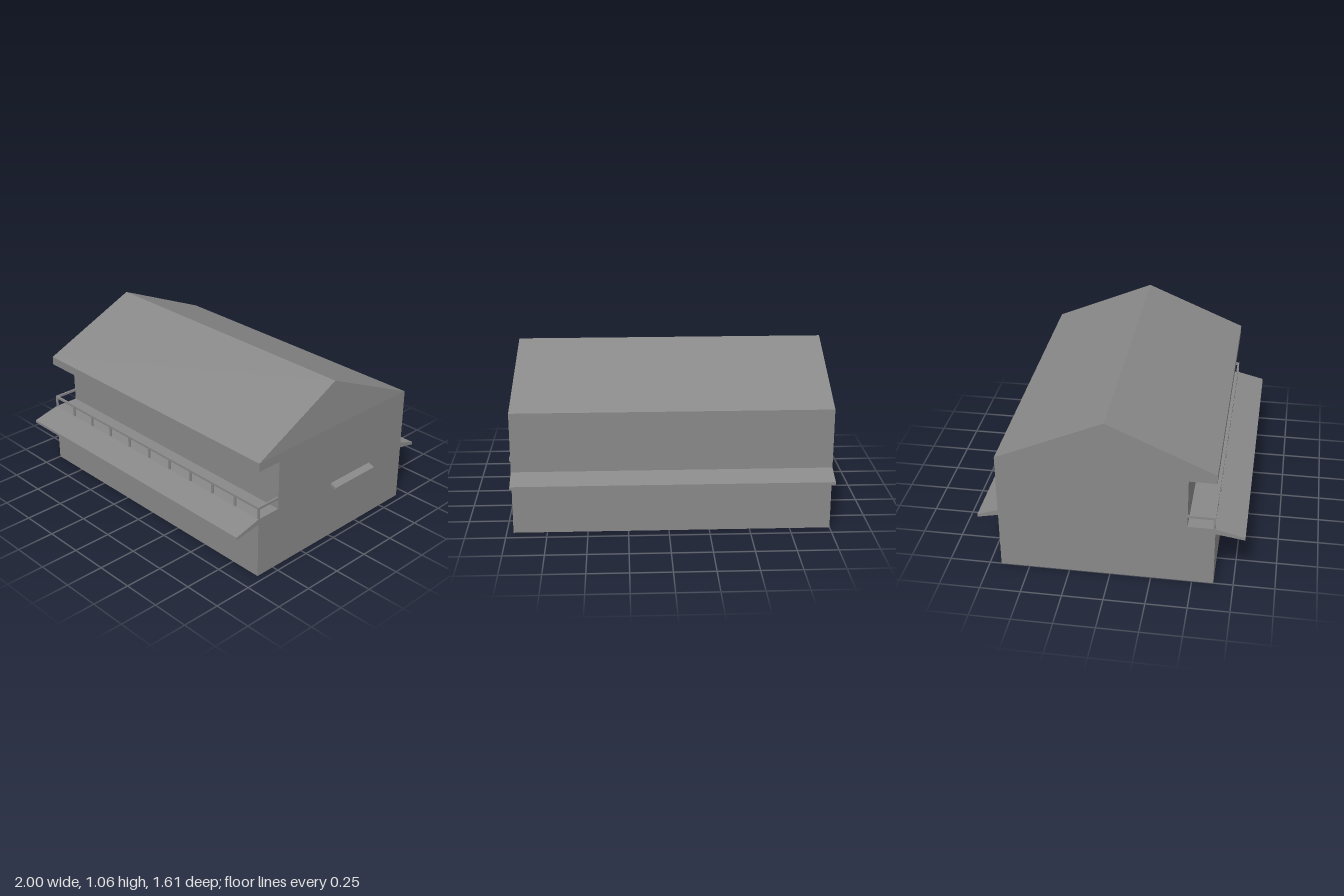
import * as THREE from 'three';

const LEFT = -1, RIGHT = 0.958, EAVE = 0.774, RIDGE = 1.062;
const FRONT = 0.63, BACK = -0.678, RECESS = 0.465, DECK = 0.4;

const material = new THREE.MeshStandardMaterial({
  color: 0x888888, flatShading: true, side: THREE.DoubleSide,
});

function addMesh(parent, name, geometry) {
  const mesh = new THREE.Mesh(geometry, material);
  mesh.name = name;
  parent.add(mesh);
  return mesh;
}

function addBox(parent, name, x0, x1, y0, y1, z0, z1) {
  const mesh = addMesh(parent, name, new THREE.BoxGeometry(x1 - x0, y1 - y0, z1 - z0));
  mesh.position.set((x0 + x1) / 2, (y0 + y1) / 2, (z0 + z1) / 2);
}

// The end of the ridge leans in slightly at the right gable.
const rightX = (y) => RIGHT - 0.027 * Math.max(0, (y - EAVE) / (RIDGE - EAVE));

// Open-bottomed shell: a [z, y] profile swept along x, with both ends filled.
function shellGeometry(profile) {
  const pos = [];
  const tri = (...corners) => corners.forEach((c) => pos.push(...c));
  const l = ([z, y]) => [LEFT, y, z];
  const r = ([z, y]) => [rightX(y), y, z];
  for (let i = 0; i < profile.length - 1; i++) {
    const a = profile[i], b = profile[i + 1];
    tri(l(a), r(a), r(b));
    tri(l(a), r(b), l(b));
  }
  // End walls below the eaves, then the gable triangles above.
  const isRidge = (p) => p[1] === RIDGE;
  const wall = profile.filter((p) => !isRidge(p));
  const outline = wall.map(([z, y]) => new THREE.Vector2(-z, y));
  const ends = THREE.ShapeUtils.triangulateShape(outline, []).map((f) => f.map((i) => wall[i]));
  ends.push([[FRONT, EAVE], [BACK, EAVE], profile.find(isRidge)]);
  for (const [a, b, c] of ends) {
    const turn = (a[0] - b[0]) * (c[1] - a[1]) - (b[1] - a[1]) * (a[0] - c[0]);
    const [p, q] = turn > 0 ? [b, c] : [c, b];
    tri(r(a), r(p), r(q));
    tri(l(a), l(q), l(p));
  }
  const geometry = new THREE.BufferGeometry();
  geometry.setAttribute('position', new THREE.Float32BufferAttribute(pos, 3));
  geometry.computeVertexNormals();
  return geometry;
}

// Solid prism: a closed [z, y] outline swept along x.
function prismGeometry(outline, x0, x1) {
  const shape = new THREE.Shape(outline.map(([z, y]) => new THREE.Vector2(-z, y)));
  const geometry = new THREE.ExtrudeGeometry(shape, { depth: x1 - x0, bevelEnabled: false });
  geometry.rotateY(Math.PI / 2);
  geometry.translate(x0, 0, 0);
  return geometry;
}

export function createModel() {
  const house = new THREE.Group();
  house.name = 'house';

  // Walls, balcony recess and roof
  addMesh(house, 'houseShell', shellGeometry([
    [FRONT, 0], [FRONT, DECK], [RECESS, DECK], [RECESS, 0.719], [FRONT, 0.719],
    [FRONT, EAVE], [-0.025, RIDGE], [BACK, EAVE], [BACK, 0],
  ]));

  // Long sloping awnings on the front and back
  for (const [name, wall, edge] of [['frontAwning', FRONT, 0.807], ['backAwning', BACK, -0.807]]) {
    addMesh(house, name, prismGeometry(
      [[wall, DECK], [edge, 0.356], [edge, 0.338], [wall, 0.365]], LEFT, RIGHT));
  }

  // Small awning on the right wall, tilted down and outward
  const small = new THREE.Shape([
    new THREE.Vector2(RIGHT, 0.38), new THREE.Vector2(RIGHT, 0.364),
    new THREE.Vector2(1, 0.347), new THREE.Vector2(1, 0.363),
  ]);
  const sideAwning = addMesh(house, 'sideAwning',
    new THREE.ExtrudeGeometry(small, { depth: 0.362, bevelEnabled: false }));
  sideAwning.position.z = -0.362;

  // Balcony railing: front rail, returns to the wall, and posts
  const railing = new THREE.Group();
  railing.name = 'balconyRailing';
  house.add(railing);
  const t = 0.012, low = 0.464, high = 0.479;
  addBox(railing, 'frontRail', LEFT, RIGHT, low, high, FRONT - t, FRONT);
  addBox(railing, 'leftRail', LEFT, LEFT + t, low, high, RECESS, FRONT - t);
  addBox(railing, 'rightRail', RIGHT - t, RIGHT, low, high, RECESS, FRONT - t);
  const count = 11;
  for (let i = 0; i < count; i++) {
    const x = LEFT + (RIGHT - t - LEFT) * i / (count - 1);
    addBox(railing, 'railPost', x, x + t, DECK, low, FRONT - t, FRONT);
  }
  return house;
}
